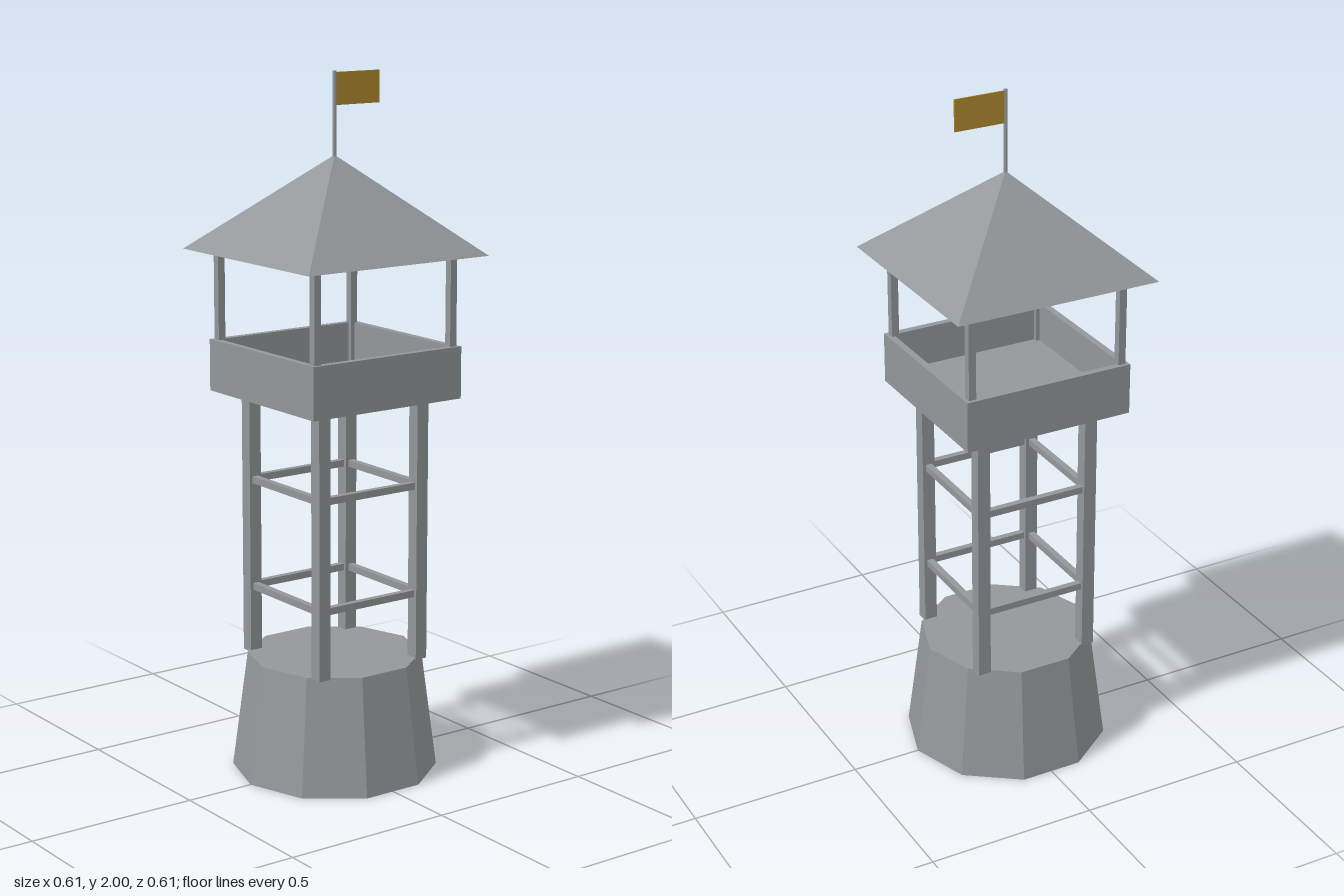
import * as THREE from 'three';

export function createModel() {
  const group = new THREE.Group();
  group.name = 'watchtower';

  const stone = new THREE.MeshStandardMaterial({ color: 0x93979a, flatShading: true });
  stone.name = 'weathered grey';
  const cloth = new THREE.MeshStandardMaterial({ color: 0xb08a2e, flatShading: true });
  cloth.name = 'flag gold';

  function add(name, geometry, x, y, z, material = stone) {
    const mesh = new THREE.Mesh(geometry, material);
    mesh.name = name;
    mesh.position.set(x, y, z);
    group.add(mesh);
    return mesh;
  }
  // Box spanning y0 to y1
  function box(name, w, y0, y1, d, x, z, material) {
    return add(name, new THREE.BoxGeometry(w, y1 - y0, d), x, (y0 + y1) / 2, z, material);
  }

  // Ten-sided tapered base, with corners on the x axis
  const base = add('base', new THREE.CylinderGeometry(0.25, 0.295, 0.34, 10), 0, 0.17, 0);
  base.rotation.y = Math.PI / 2;

  // Corner legs and roof posts
  for (const sx of [-1, 1]) {
    for (const sz of [-1, 1]) {
      box('leg', 0.038, 0.335, 1.1, 0.038, sx * 0.169, sz * 0.169);
      box('roofPost', 0.022, 1.13, 1.505, 0.022, sx * 0.231, sz * 0.231);
    }
  }

  // Two square rings of cross beams between the legs
  for (const y of [0.53, 0.845]) {
    for (const s of [-1, 1]) {
      box('crossBeam', 0.3, y - 0.01, y + 0.01, 0.019, 0, s * 0.169);
      box('crossBeam', 0.019, y - 0.01, y + 0.01, 0.3, s * 0.169, 0);
    }
  }

  // Lookout floor with parapet walls standing on its rim
  box('floor', 0.504, 1.097, 1.13, 0.504, 0, 0);
  for (const s of [-1, 1]) {
    box('parapet', 0.504, 1.13, 1.245, 0.02, 0, s * 0.242);
    box('parapet', 0.02, 1.13, 1.245, 0.464, s * 0.242, 0);
  }

  // Square pyramid roof
  const roofGeometry = new THREE.ConeGeometry(0.304 * Math.SQRT2, 0.27, 4);
  roofGeometry.rotateY(Math.PI / 4);
  add('roof', roofGeometry, 0, 1.635, 0);

  // Flagpole and flag
  add('flagpole', new THREE.CylinderGeometry(0.005, 0.005, 0.25, 6), 0, 1.875, 0);
  box('flag', 0.15, 1.906, 1.996, 0.004, 0.078, 0, cloth);

  return group;
}
